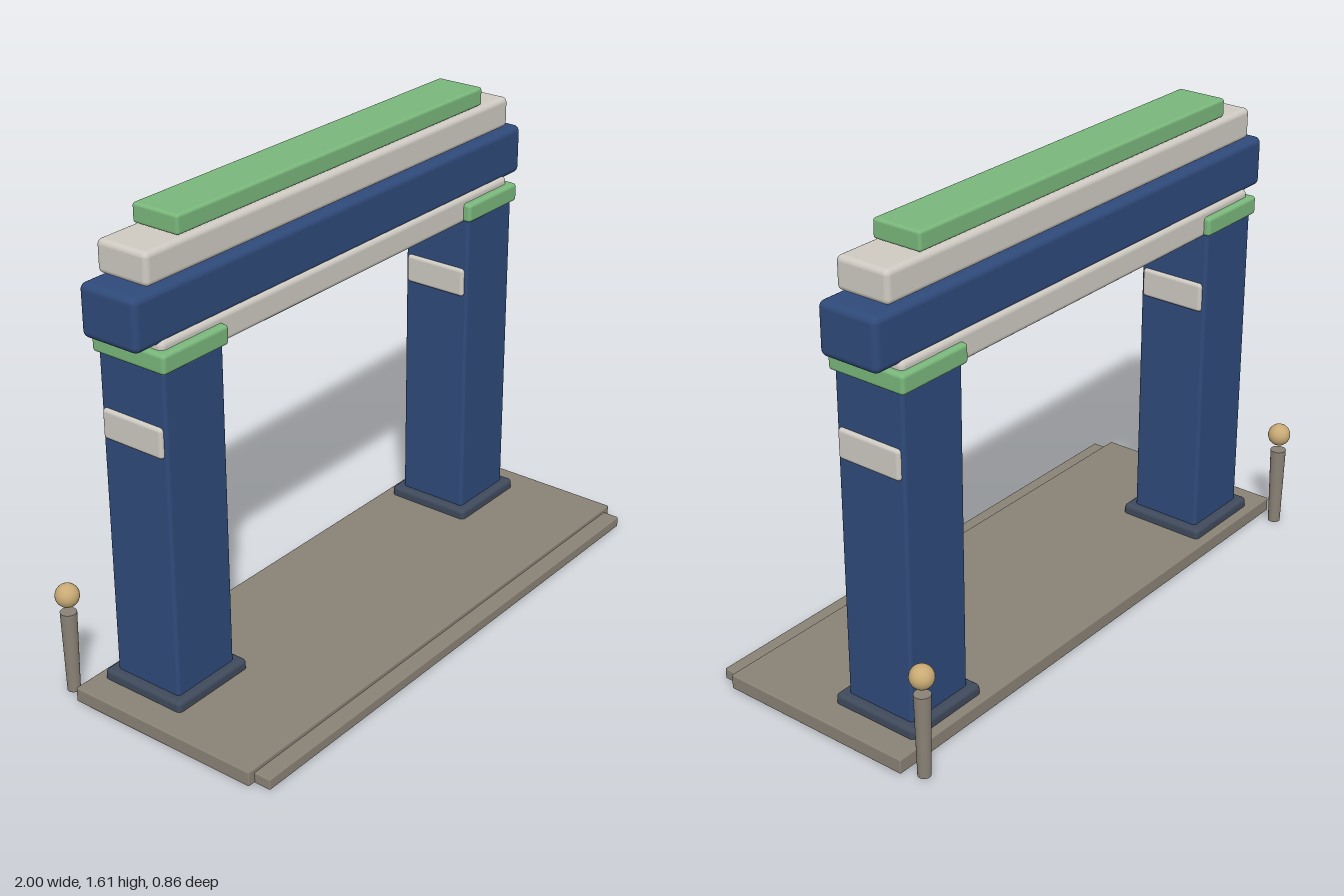
import * as THREE from 'three';
import { RoundedBoxGeometry } from 'three/addons/geometries/RoundedBoxGeometry.js';

const mat = (color) => new THREE.MeshStandardMaterial({ color });

export function createModel() {
  const group = new THREE.Group();
  const navy = mat(0x2f4a7a), slate = mat(0x3f4a5c), green = mat(0x7ab87c);
  const ivory = mat(0xcfcbc3), stone = mat(0x8a8276), gold = mat(0xc8aa74);

  // Rounded block given by its extents along each axis
  function block(parent, name, material, [x0, x1], [y0, y1], [z0, z1], radius) {
    const mesh = new THREE.Mesh(new RoundedBoxGeometry(x1 - x0, y1 - y0, z1 - z0, 3, radius), material);
    mesh.position.set((x0 + x1) / 2, (y0 + y1) / 2, (z0 + z1) / 2);
    mesh.name = name;
    parent.add(mesh);
  }

  // Ground slab and front step
  block(group, 'platform', stone, [-1, 1], [0.005, 0.056], [-0.335, 0.37], 0.005);
  block(group, 'frontStep', stone, [-0.973, 0.973], [0.003, 0.041], [0.3, 0.428], 0.005);

  // Lintel stack, bottom to top: half width, height range, depth range
  const beams = [
    ['lowerBeam', ivory, 0.865, [1.175, 1.27], [-0.265, -0.028], 0.018],
    ['mainBeam', navy, 0.956, [1.257, 1.427], [-0.255, -0.038], 0.022],
    ['upperBeam', ivory, 0.889, [1.436, 1.541], [-0.243, -0.05], 0.018],
    ['roofBeam', green, 0.746, [1.545, 1.608], [-0.235, -0.06], 0.01],
  ];
  for (const [name, material, w, y, z, r] of beams) block(group, name, material, [-w, w], y, z, r);

  for (const side of [1, -1]) {
    // Pillar with base, capital and a plate on each flank
    const pillar = new THREE.Group();
    pillar.name = side > 0 ? 'leftPillar' : 'rightPillar';
    pillar.position.set(side * 0.747, 0, -0.144);
    group.add(pillar);
    block(pillar, 'shaft', navy, [-0.128, 0.128], [0.004, 1.185], [-0.128, 0.128], 0.012);
    block(pillar, 'base', slate, [-0.158, 0.158], [0.03, 0.09], [-0.158, 0.158], 0.015);
    block(pillar, 'capital', green, [-0.14, 0.14], [1.18, 1.244], [-0.142, 0.142], 0.012);
    for (const flank of [1, -1]) {
      const x = flank * 0.126;
      block(pillar, 'sidePlate', ivory, [x - 0.014, x + 0.014], [0.905, 1.005], [-0.117, 0.117], 0.012);
    }

    // Bollard behind the platform corner
    const bollard = new THREE.Group();
    bollard.name = side > 0 ? 'leftBollard' : 'rightBollard';
    bollard.position.set(side * 0.957, 0, -0.39);
    group.add(bollard);
    const post = new THREE.Mesh(new THREE.CylinderGeometry(0.027, 0.021, 0.285, 20), stone);
    post.name = 'post';
    post.position.y = 0.148;
    const ball = new THREE.Mesh(new THREE.SphereGeometry(0.039, 24, 16), gold);
    ball.name = 'ball';
    ball.position.y = 0.35;
    bollard.add(post, ball);
  }

  return group;
}
